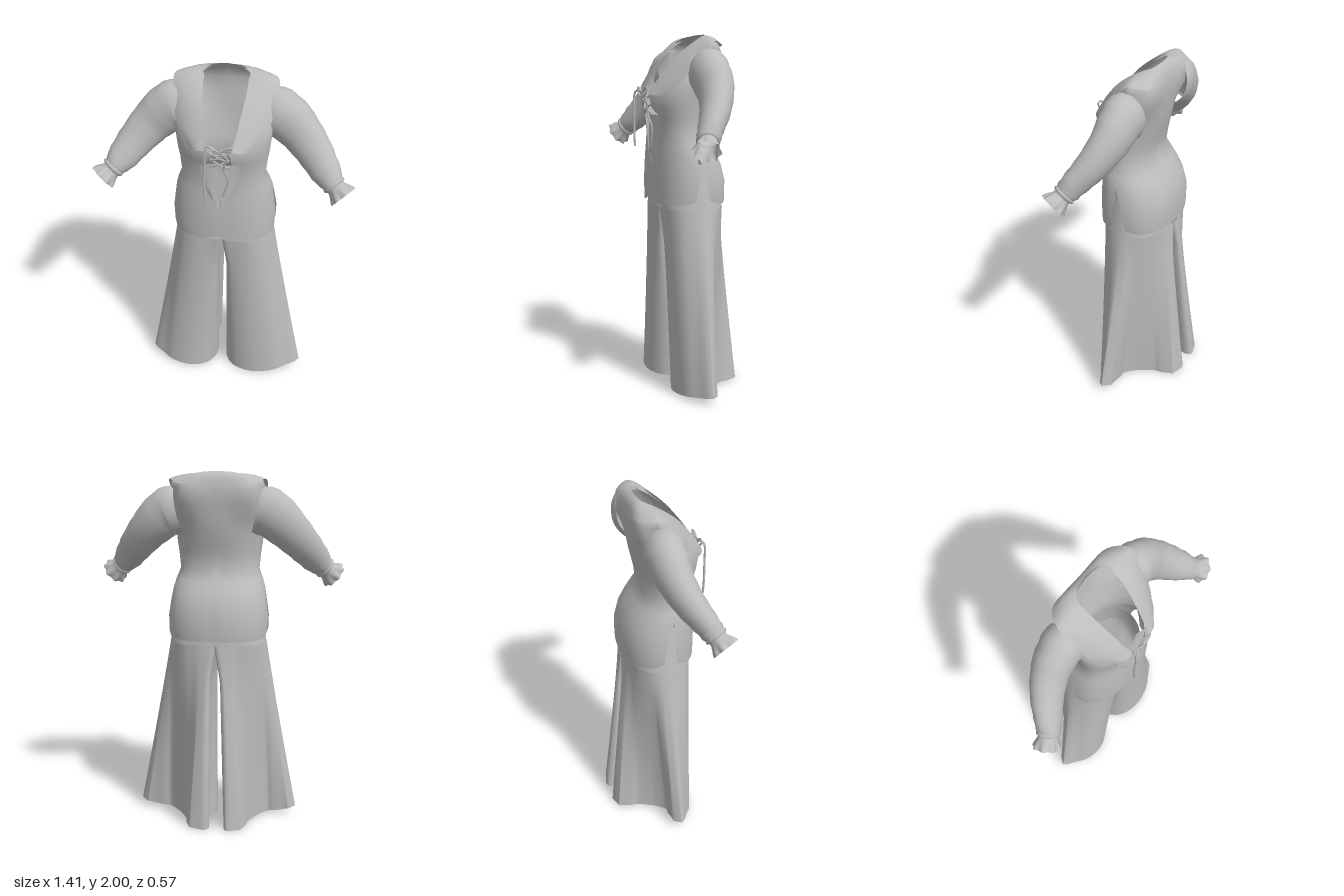
import * as THREE from 'three';
import { mergeGeometries, mergeVertices } from 'three/addons/utils/BufferGeometryUtils.js';

const V = (x, y, z) => new THREE.Vector3(x, y, z);
const cloth = new THREE.MeshStandardMaterial({ color: 0xbcbcbc, side: THREE.DoubleSide });
cloth.name = 'grey cloth';

// Surface through a list of equal-length rows of points
function loft(rows, closed = false) {
  const n = rows[0].length, index = [];
  for (let i = 0; i < rows.length - 1; i++) {
    for (let j = 0; j < (closed ? n : n - 1); j++) {
      const a = i * n + j, b = i * n + (j + 1) % n;
      index.push(a, b, b + n, a, b + n, a + n);
    }
  }
  const g = new THREE.BufferGeometry().setFromPoints(rows.flat());
  g.setIndex(index);
  g.computeVertexNormals();
  return g;
}

// Keeps shading continuous where a half meets its mirror image
function smoothSeam(g) {
  const p = g.attributes.position, n = g.attributes.normal, v = new THREE.Vector3();
  for (let i = 0; i < p.count; i++) {
    if (Math.abs(p.getX(i)) > 1e-4) continue;
    v.fromBufferAttribute(n, i).setX(0).normalize();
    n.setXYZ(i, v.x, v.y, v.z);
  }
  return g;
}

const spline = (pts, n, closed = false) => {
  const c = new THREE.CatmullRomCurve3(pts.map(p => V(...p)), closed);
  const out = c.getPoints(n);
  if (closed) out.pop();
  return out;
};

function add(group, name, geometry, mirror = false) {
  const m = new THREE.Mesh(geometry, cloth);
  m.name = name;
  if (mirror) m.scale.x = -1;
  group.add(m);
}
function addPair(group, name, geometry) {
  add(group, name + 'Left', geometry);
  add(group, name + 'Right', geometry, true);
}

// Half of the tunic: front and back panels with a side slit and laced front
function tunicHalf() {
  const N = 14, front = [], back = [];
  // y, half width, front z, back z, front gap, slit in degrees, roundness
  const sections = [
    [1.075, 0.28, 0.215, -0.19, 0, 9, 0.85], [1.11, 0.283, 0.215, -0.192, 0, 8, 0.85],
    [1.2, 0.285, 0.215, -0.192, 0, 5, 0.85], [1.29, 0.272, 0.212, -0.17, 0, 2, 0.85],
    [1.35, 0.262, 0.207, -0.135, 0.045, 0, 0.85], [1.4, 0.248, 0.205, -0.105, 0.075, 0, 0.87],
    [1.46, 0.225, 0.205, -0.07, 0.1, 0, 0.9], [1.55, 0.234, 0.215, -0.083, 0.115, 0, 0.95],
    [1.6, 0.242, 0.233, -0.095, 0.06, 0, 0.97], [1.67, 0.25, 0.248, -0.112, 0.05, 0, 1],
    [1.74, 0.257, 0.215, -0.123, 0.08, 0, 0.95],
  ];
  sections.forEach(([y, w, zf, zb, gap, slit, e], row) => {
    const zc = (zf + zb) / 2 + 0.01;
    const start = Math.asin(Math.pow(gap / w, 1 / e)), s = slit * Math.PI / 180;
    const point = (a, edge, isFront) => {
      const c = Math.cos(a), x = w * Math.pow(Math.max(0, Math.sin(a)), e);
      const z = zc + Math.pow(Math.abs(c), e) * (c > 0 ? zf - zc : zb - zc);
      let lift = 0;
      if (row === 0) lift = 0.03 * Math.pow(edge, 6) + (isFront ? 0.035 * Math.exp(-x * x / 0.004) : 0);
      return V(x < 1e-5 ? 0 : x, y + lift, z);
    };
    const f = [], b = [];
    for (let i = 0; i <= N; i++) {
      const t = i / N, mid = Math.PI / 2;
      f.push(point(start + (mid - s - start) * t, t, true));
      b.push(point(mid + s + (mid - s) * t, 1 - t, false));
    }
    front.push(f);
    back.push(b);
  });
  // Chest, shoulder and neck edge: front edge, front, side, back, back centre
  const upper = [
    [[0.09, 1.8, 0.165], [0.2, 1.81, 0.115], [0.262, 1.83, -0.02], [0.19, 1.83, -0.125], [0, 1.83, -0.133]],
    [[0.105, 1.87, 0.1], [0.2, 1.89, 0.06], [0.262, 1.92, -0.03], [0.19, 1.91, -0.125], [0, 1.9, -0.134]],
    [[0.115, 1.93, 0.03], [0.18, 1.945, 0.01], [0.25, 1.955, -0.04], [0.18, 1.95, -0.11], [0, 1.95, -0.122]],
    [[0.115, 1.96, -0.02], [0.12, 1.968, -0.03], [0.125, 1.975, -0.045], [0.08, 1.988, -0.075], [0, 1.992, -0.088]],
  ];
  for (const r of upper) {
    front.push(spline(r.slice(0, 3), N));
    back.push(spline(r.slice(2), N));
  }
  const g = mergeGeometries([loft(front), loft(back)]);
  g.deleteAttribute('normal');
  const welded = mergeVertices(g, 1e-5);
  welded.computeVertexNormals();
  return smoothSeam(welded);
}

// Wide collar from the chest points over the shoulder to the back
function collarHalf() {
  const inner = spline([[0.065, 1.685, 0.25], [0.095, 1.78, 0.185], [0.115, 1.89, 0.09], [0.12, 1.975, -0.025],
    [0.085, 1.992, -0.075], [0, 1.997, -0.09]], 30);
  const outer = spline([[0.15, 1.67, 0.213], [0.232, 1.75, 0.125], [0.26, 1.87, 0.045], [0.266, 1.955, -0.035],
    [0.2, 1.935, -0.125], [0, 1.925, -0.132]], 30);
  const rows = [0, 0.25, 0.5, 0.75, 1].map(t => inner.map((p, i) => {
    const q = p.clone().lerp(outer[i], t);
    const out = V(q.x, (q.y - 1.75) * 0.8, q.z).normalize();
    if (i === inner.length - 1) out.x = 0;
    return q.addScaledVector(out, 0.004 + 0.014 * Math.sin(Math.PI * t));
  }));
  return smoothSeam(loft(rows));
}

// Round sleeve section stack along a bent arm; ripple gives the gathered frill
const armPath = new THREE.CatmullRomCurve3([V(0.215, 1.79, -0.02), V(0.285, 1.775, -0.015), V(0.375, 1.7, -0.004),
  V(0.465, 1.605, 0.04), V(0.535, 1.522, 0.098), V(0.583, 1.468, 0.136), V(0.645, 1.412, 0.175)]);
function sleeve(stations, sides, ripple = 0) {
  const rows = stations.map(([t, r]) => {
    const c = armPath.getPoint(t), d = armPath.getTangent(t);
    const u = V(0, 0, 1).addScaledVector(d, -d.z).normalize(), w = d.clone().cross(u);
    const pts = [];
    for (let i = 0; i < sides; i++) {
      const a = i / sides * Math.PI * 2;
      const k = r * (1 + ripple * Math.max(0, (t - 0.9) * 10) * Math.sin(a * 8));
      pts.push(c.clone().addScaledVector(u, Math.cos(a) * k * (t < 0.8 ? 0.8 : 0.95)).addScaledVector(w, Math.sin(a) * k));
    }
    return pts;
  });
  return loft(rows, true);
}

// Trouser hip outline of one side, front centre to back centre, then the inner leg
const hip = [[0, 0.16], [0.07, 0.172], [0.16, 0.17], [0.225, 0.135], [0.262, 0.075], [0.276, 0.01], [0.268, -0.04],
  [0.245, -0.09], [0.19, -0.138], [0.12, -0.162], [0.055, -0.174], [0, -0.172], [0, -0.07], [0, 0.05]];
const CROTCH = 1.05;

// Half of the hips, narrowing to the waist inside the tunic
function hipsHalf() {
  const rows = [0, 0.25, 0.5, 0.75, 1].map(t => {
    const k = 1 - 0.15 * t;
    return spline(hip.slice(0, 12).map(([x, z]) => [x * k, CROTCH + 0.25 * t, z * k]), 40);
  });
  return smoothSeam(loft(rows));
}

// Flared trouser leg: hip outline blends into a folded hem
function leg(hemInner, hemOuter) {
  const hem = [[0.03, 0.05], [0.08, 0.12], [0.19, 0.16], [0.32, 0.142], [0.39, 0.1], [0.46, 0.05], [0.42, 0],
    [0.3, 0], [0.22, -0.07], [0.17, -0.17], [0.14, -0.265], [0.04, -0.265], [0.06, -0.13], [0.02, -0.03]];
  const rows = [];
  for (let i = 0; i <= 24; i++) {
    const k = i / 24, y = CROTCH * (1 - k);
    const ring = spline(hip.map(([x, z], j) => {
      const hx = hemInner + (hem[j][0] - 0.02) / 0.44 * (hemOuter - hemInner);
      const open = x === 0 ? 0.03 * Math.min(1, k * 5) * (1 - k) : 0;
      return [x + (hx - x) * k + open, y, z + (hem[j][1] - z) * k];
    }), 84, true);
    ring.forEach((p, j) => {
      if (j > 30 && j < 66) {
        const ripple = 0.007 * k * Math.sin(j * 1.05 + y * 2);
        p.x += ripple;
        p.z += ripple;
      }
      p.x = Math.max(0, p.x);
      p.y += k * k * 0.045 * Math.pow(Math.min(1, p.x / 0.47), 2);
    });
    rows.push(ring);
  }
  return loft(rows, true);
}

const cord = (pts, r = 0.005) => new THREE.TubeGeometry(
  new THREE.CatmullRomCurve3(pts.map(p => V(...p))), 28, r, 6);

export function createModel() {
  const model = new THREE.Group();
  model.name = 'outfit';

  // Tunic body and collar
  addPair(model, 'tunic', tunicHalf());
  addPair(model, 'collar', collarHalf());

  // Sleeves with soft gathered rings, wrist band and frill
  const arm = sleeve([[0, 0.125], [0.06, 0.134], [0.12, 0.139], [0.16, 0.139], [0.19, 0.131], [0.24, 0.131], [0.28, 0.126],
    [0.34, 0.12], [0.38, 0.113], [0.43, 0.11], [0.5, 0.1], [0.56, 0.097], [0.62, 0.088], [0.68, 0.086],
    [0.74, 0.077], [0.8, 0.068], [0.85, 0.056]], 24);
  addPair(model, 'sleeve', arm);
  addPair(model, 'wristBand', sleeve([[0.83, 0.056], [0.845, 0.064], [0.865, 0.064], [0.88, 0.052]], 24));
  addPair(model, 'cuffFrill', sleeve([[0.87, 0.051], [0.9, 0.052], [0.94, 0.062], [0.97, 0.07], [1, 0.074]], 64, 0.09));

  // Folded insert behind the lacing
  const insert = [[1.28, 0.01, 0.208], [1.35, 0.055, 0.198], [1.42, 0.09, 0.19], [1.5, 0.118, 0.18], [1.56, 0.125, 0.18]]
    .map(([y, w, z], r) => [-1, -0.6, -0.2, 0.2, 0.6, 1].map((s, j) =>
      V(s * w, y, z + (j % 2 ? 0.012 : -0.004) * Math.min(1, r))));
  add(model, 'frontInsert', loft(insert));

  // Crossed laces between the chest edges
  [1.57, 1.615, 1.66].forEach((y, i) => {
    const w = 0.05 - i * 0.002, z = 0.225 + i * 0.012;
    addPair(model, 'crossLace' + i, cord([[-w, y, z], [0, y + 0.025, z + 0.016], [w, y + 0.05, z + 0.005]]));
  });

  // Bow loops and hanging cord ends
  addPair(model, 'bowLoop', cord([[0, 1.66, 0.255], [0.035, 1.705, 0.265], [0.065, 1.712, 0.26],
    [0.06, 1.685, 0.262], [0.025, 1.665, 0.262], [0, 1.66, 0.255]]));
  add(model, 'longCord', cord([[0, 1.66, 0.255], [-0.035, 1.695, 0.265], [-0.062, 1.685, 0.28],
    [-0.07, 1.58, 0.282], [-0.074, 1.48, 0.282], [-0.066, 1.385, 0.282]], 0.006));
  add(model, 'shortCord', cord([[0, 1.66, 0.255], [0.04, 1.65, 0.255], [0.022, 1.57, 0.24],
    [0.045, 1.5, 0.225], [0.035, 1.44, 0.222], [0.015, 1.385, 0.222]], 0.006));

  // Flared trousers, slightly uneven in stance
  addPair(model, 'trouserHips', hipsHalf());
  add(model, 'trouserLegLeft', leg(0.005, 0.468));
  add(model, 'trouserLegRight', leg(0.05, 0.45), true);
  return model;
}
